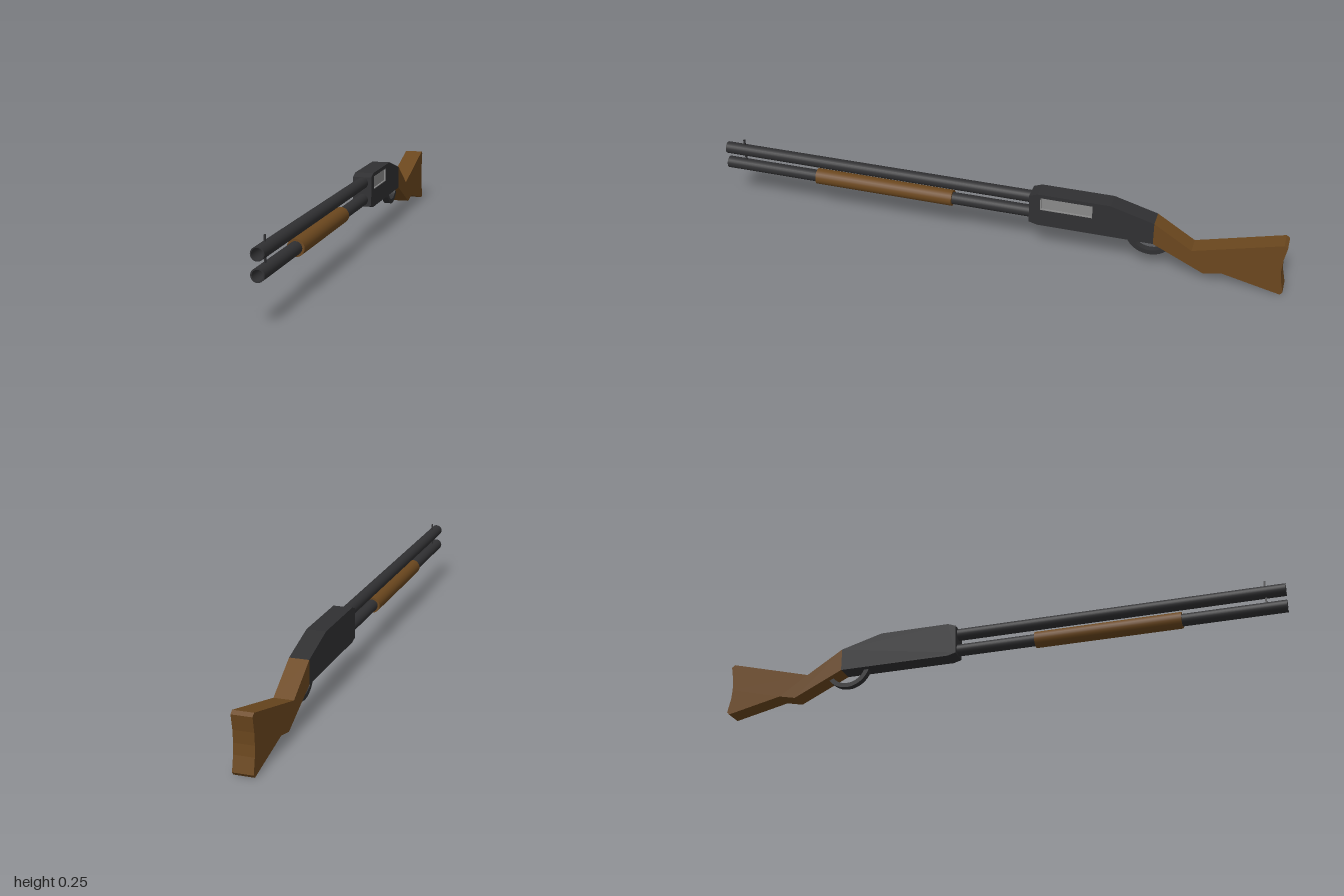
import * as THREE from 'three';

const metal = new THREE.MeshStandardMaterial({ color: 0x303032 });
const wood = new THREE.MeshStandardMaterial({ color: 0x6b471e });
const steel = new THREE.MeshStandardMaterial({ color: 0x8a8a8a });

// Side profile in [z, y], extruded across x from x0 to x1
function slab(profile, x0, x1, hole) {
  const toPoints = (list) => list.map(([z, y]) => new THREE.Vector2(z, y));
  const shape = new THREE.Shape(toPoints(profile));
  if (hole) shape.holes.push(new THREE.Path(toPoints(hole)));
  const geo = new THREE.ExtrudeGeometry(shape, { depth: x1 - x0, bevelEnabled: false, curveSegments: 20 });
  return geo.rotateY(-Math.PI / 2).translate(x1, 0, 0);
}

const rect = (z0, z1, y0, y1) => [[z0, y0], [z1, y0], [z1, y1], [z0, y1]];

// Hollow pipe along z
function pipe(outer, inner, z0, z1, y) {
  const loop = [[inner, z0], [outer, z0], [outer, z0], [outer, z1], [outer, z1], [inner, z1], [inner, z1], [inner, z0]];
  const geo = new THREE.LatheGeometry(loop.map(([r, z]) => new THREE.Vector2(r, z)), 24);
  return geo.rotateX(Math.PI / 2).translate(0, y, 0);
}

export function createModel() {
  const group = new THREE.Group();
  const add = (name, geometry, material) => {
    const mesh = new THREE.Mesh(geometry, material);
    mesh.name = name;
    group.add(mesh);
    return mesh;
  };
  const half = 0.033;

  // Barrel above, magazine tube below
  add('barrel', pipe(0.021, 0.0175, -0.15, 1, 0.207), metal);
  add('magazineTube', pipe(0.021, 0.0165, -0.15, 1, 0.147), metal);

  // Solid sliding fore-end around the tube
  const foreEnd = new THREE.CylinderGeometry(0.028, 0.028, 0.505, 24);
  add('foreEnd', foreEnd.rotateX(Math.PI / 2).translate(0, 0.147, 0.4025), wood);

  // Front sight blade
  add('frontSight', new THREE.BoxGeometry(0.005, 0.083, 0.006).translate(0, 0.2065, 0.933), metal);

  // Receiver: solid body plus a left cheek with the port cut through it
  const body = [
    [-0.131, 0.125], [-0.131, 0.228], [-0.16, 0.239], [-0.41, 0.239],
    [-0.56, 0.197], [-0.56, 0.117], [-0.16, 0.117],
  ];
  add('receiver', slab(body, -half, 0.025), metal);
  add('receiverLeftSide', slab(body, 0.025, half, rect(-0.35, -0.17, 0.179, 0.226)), metal);

  // Ejection port lining and bolt face
  add('portFrame', slab(rect(-0.35, -0.17, 0.179, 0.226), 0.025, half - 0.0005,
    rect(-0.347, -0.173, 0.182, 0.223)), steel);
  add('bolt', new THREE.BoxGeometry(0.004, 0.041, 0.174).translate(0.025, 0.2025, -0.26), steel);

  // Stock with a hollowed butt
  add('stock', slab([
    [-0.56, 0.197], [-0.69, 0.115], [-0.985, 0.194], [-0.997, 0.185],
    [-0.988, 0.135], [-0.986, 0.095], [-0.989, 0.06], [-1, 0.01],
    [-0.992, 0], [-0.795, 0.045], [-0.735, 0.032], [-0.56, 0.117],
  ], -half, half), wood);

  // Trigger guard: flat band bent into an arc, ends hidden in the body
  const guard = new THREE.Shape();
  const start = Math.PI * 1.02, end = Math.PI * 1.98;
  guard.absarc(-0.545, 0.143, 0.085, start, end, false);
  guard.absarc(-0.545, 0.143, 0.069, end, start, true);
  const band = new THREE.ExtrudeGeometry(guard, { depth: 0.023, bevelEnabled: false, curveSegments: 20 });
  add('triggerGuard', band.rotateY(-Math.PI / 2).translate(0.0115, 0, 0), metal);

  return group;
}
